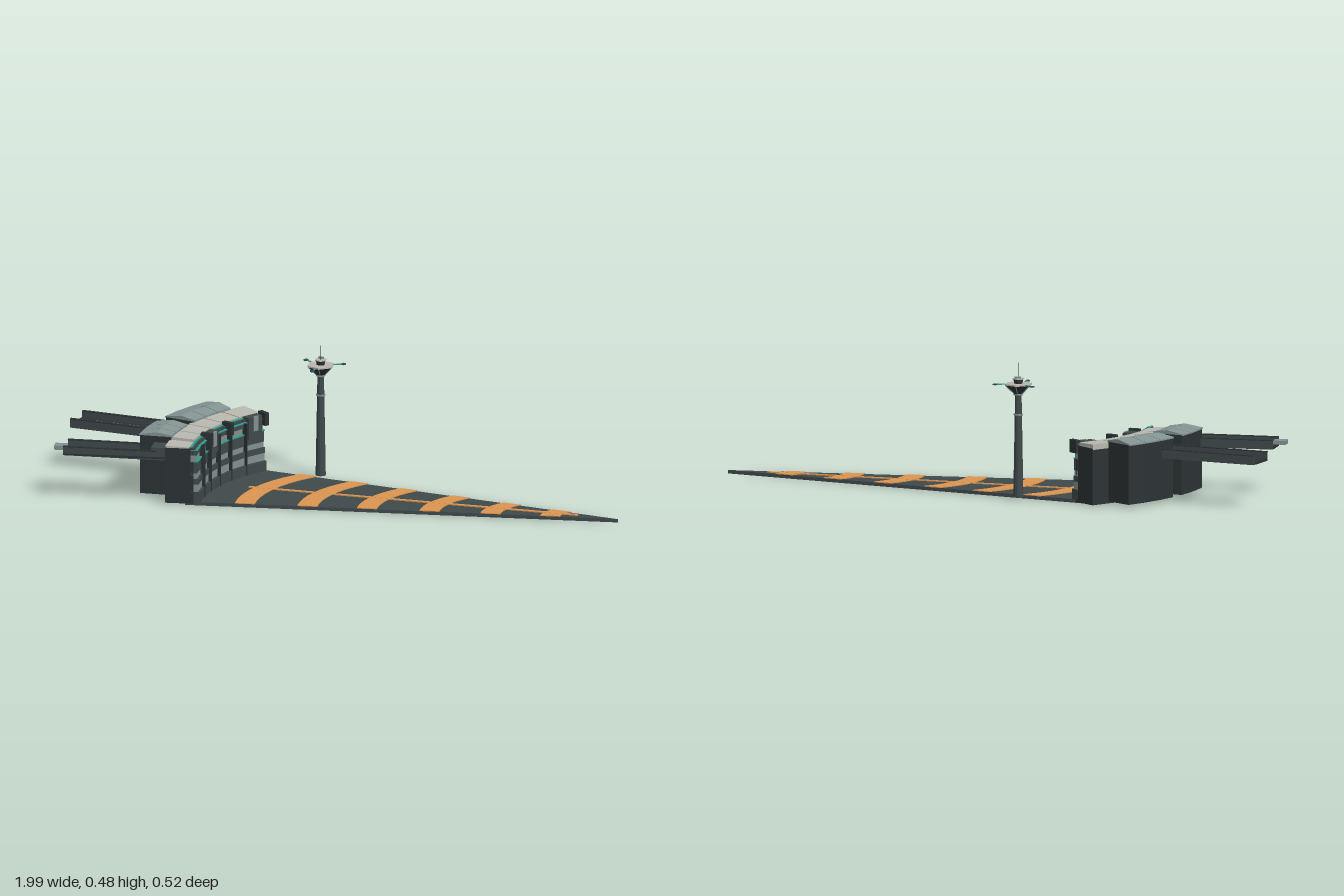
import * as THREE from 'three';

const APEX = 0.995, Z0 = 0.257, CX = 0.12; // fan apex, straight edge, centre of the curved building
const paint = (color) => new THREE.MeshStandardMaterial({ color, flatShading: true, side: THREE.DoubleSide });
const dark = paint(0x40494b), deep = paint(0x2c3335), glass = paint(0x82908f);
const pale = paint(0xb9b8af), teal = paint(0x2f9c8e), orange = paint(0xdb9550), tealRoof = paint(0x849493);

function add(parent, name, geometry, material, x = 0, y = 0, z = 0) {
  const mesh = new THREE.Mesh(geometry, material);
  mesh.name = name;
  mesh.position.set(x, y, z);
  parent.add(mesh);
  return mesh;
}

// Flat slab from a plan outline of [x, z] points
function slab(points, y0, y1) {
  const shape = new THREE.Shape(points.map(([x, z]) => new THREE.Vector2(x, -z)));
  const g = new THREE.ExtrudeGeometry(shape, { depth: y1 - y0, bevelEnabled: false });
  return g.rotateX(-Math.PI / 2).translate(0, y0, 0);
}

// Sweep a convex anticlockwise [radius, y] profile through a list of angles
function sweep(profile, angles) {
  const pos = [], n = profile.length;
  const pt = ([r, y], a) => [CX - r * Math.cos(a), y, Z0 - r * Math.sin(a)];
  const tri = (a, b, c) => pos.push(...a, ...b, ...c);
  for (let i = 0; i < angles.length - 1; i++) {
    const a = angles[i], b = angles[i + 1];
    for (let j = 0; j < n; j++) {
      const p = profile[j], q = profile[(j + 1) % n];
      tri(pt(p, a), pt(q, a), pt(q, b));
      tri(pt(p, a), pt(q, b), pt(p, b));
    }
  }
  const s = angles[0], e = angles[angles.length - 1];
  for (let j = 1; j < n - 1; j++) {
    tri(pt(profile[0], s), pt(profile[j + 1], s), pt(profile[j], s));
    tri(pt(profile[0], e), pt(profile[j], e), pt(profile[j + 1], e));
  }
  const g = new THREE.BufferGeometry();
  g.setAttribute('position', new THREE.Float32BufferAttribute(pos, 3));
  g.computeVertexNormals();
  return g;
}
const rect = (r0, r1, y0, y1) => [[r0, y0], [r1, y0], [r1, y1], [r0, y1]];
const bayAngles = Array.from({ length: 7 }, (_, i) => Math.asin(i * 0.0725 / 0.62));

// Wedge-shaped apron with arced stripes that shrink towards the apex
function apron() {
  const g = new THREE.Group();
  g.name = 'apron';
  const back = bayAngles.map((a) => [CX - 0.65 * Math.cos(a), Z0 - 0.62 * Math.sin(a)]);
  add(g, 'apronFloor', slab([[APEX, Z0], ...back], 0, 0.012), dark);
  const arc = (d) => Array.from({ length: 9 }, (_, i) => {
    const u = 0.285 * i / 8, r = 0.38;
    return [APEX - d * (1 - r + Math.sqrt(r * r - u * u)), Z0 - d * u];
  });
  for (const d of [1.35, 1.13, 0.92, 0.70, 0.485, 0.275])
    add(g, 'apronStripe', slab([...arc(d), ...arc(d - 0.07).reverse()], 0.012, 0.015), orange);
  const line = [[-0.335, 0.045], [0.85, 0.225], [0.85, 0.238], [-0.335, 0.058]];
  add(g, 'centreLine', slab(line, 0.012, 0.0155), orange);
  return g;
}

// Curved front building with banded facade
function terminal() {
  const g = new THREE.Group();
  g.name = 'terminal';
  add(g, 'terminalCore', sweep(rect(0.62, 0.72, 0.005, 0.204), bayAngles), deep);
  const bands = [
    [0.012, 0.048, 0.595, dark], [0.048, 0.075, 0.605, glass], [0.075, 0.095, 0.603, dark],
    [0.095, 0.115, 0.61, glass], [0.115, 0.155, 0.608, dark], [0.155, 0.159, 0.604, teal],
    [0.159, 0.18, 0.614, glass], [0.18, 0.197, 0.61, dark], [0.197, 0.2, 0.606, teal],
  ];
  for (const [y0, y1, r, m] of bands)
    add(g, 'facadeBand', sweep(rect(r, 0.63, y0, y1), bayAngles), m);
  for (let i = 0; i < 6; i++) {
    const a = [bayAngles[i] + 0.004, bayAngles[i + 1] - 0.004], top = i === 0 ? 0.211 : 0.219;
    add(g, 'roofPanel', sweep([[0.635, 0.2], [0.72, 0.2], [0.72, top], [0.635, top - 0.003]], a), pale);
    add(g, 'roofEdge', sweep(rect(0.615, 0.634, 0.2, 0.209), a), dark);
  }
  add(g, 'roofTrim', sweep(rect(0.624, 0.632, 0.207, 0.212), bayAngles), teal);
  // Fins and tall window bays on the facade
  for (const i of [2, 4, 6]) {
    const a = bayAngles[i];
    add(g, 'facadeFin', sweep(rect(0.59, 0.63, 0.177, 0.223), [a - 0.016, a + 0.012]), deep);
  }
  for (const i of [2, 5]) {
    const a = (bayAngles[i] + bayAngles[i + 1]) / 2;
    add(g, 'windowBay', sweep(rect(0.598, 0.63, 0.14, 0.216), [a - 0.055, a + 0.05]), dark);
    add(g, 'windowPanel', sweep(rect(0.594, 0.6, 0.165, 0.218), [a - 0.018, a + 0.018]), glass);
  }
  for (let i = 1; i < 6; i++)
    add(g, 'facadeJoint', sweep(rect(0.592, 0.62, 0.012, 0.2), [bayAngles[i] - 0.002, bayAngles[i] + 0.002]), deep);
  return g;
}

// Rear lounge: three faceted bays with a low ridged roof
function lounge(from, to) {
  const g = new THREE.Group();
  g.name = 'rearLounge';
  const angles = [0, 1, 2, 3].map((i) => THREE.MathUtils.degToRad(from + (to - from) * i / 3));
  add(g, 'loungeWalls', sweep(rect(0.715, 0.825, 0.012, 0.222), angles), deep);
  for (let i = 0; i < 3; i++) {
    const roof = [[0.71, 0.22], [0.829, 0.22], [0.829, 0.225], [0.765, 0.236], [0.71, 0.227]];
    add(g, 'loungeRoof', sweep(roof, [angles[i] + 0.002, angles[i + 1] - 0.002]), tealRoof);
  }
  return g;
}

// Open-topped boarding bridge running out along local -x
function bridge(x, z, angle, length, width) {
  const g = new THREE.Group();
  g.name = 'boardingBridge';
  g.position.set(x, 0, z);
  g.rotation.y = -angle;
  const box = (name, l, h, w, m, bx, by, bz) => add(g, name, new THREE.BoxGeometry(l, h, w), m, bx, by, bz);
  box('bridgeFloor', length, 0.01, width, deep, -length / 2, 0.162, 0);
  for (const s of [-1, 1]) {
    box('bridgeWall', length, 0.032, 0.007, dark, -length / 2, 0.173, s * width / 2);
    box('bridgeRail', length, 0.003, 0.012, deep, -length / 2, 0.189, s * width / 2);
  }
  for (let i = 0; i < 5; i++)
    box('bridgeLight', 0.034, 0.004, 0.032, glass, -0.045 - i * 0.064, 0.169, 0);
  box('bridgeRoot', 0.1, 0.045, width * 0.9, dark, 0.03, 0.178, 0);
  return g;
}

// Control tower
function tower() {
  const g = new THREE.Group();
  g.name = 'controlTower';
  g.position.set(-0.11, 0, -0.143);
  const drum = (name, r1, r0, y0, y1, m, sides = 12) =>
    add(g, name, new THREE.CylinderGeometry(r1, r0, y1 - y0, sides), m, 0, (y0 + y1) / 2, 0);
  drum('towerShaft', 0.0115, 0.018, 0.01, 0.375, dark);
  drum('towerCollar', 0.0165, 0.0165, 0.299, 0.304, glass);
  drum('towerCollar', 0.0165, 0.0165, 0.37, 0.375, glass);
  drum('towerBowl', 0.047, 0.015, 0.375, 0.406, deep, 6);
  drum('towerDeck', 0.05, 0.05, 0.406, 0.411, pale, 6);
  drum('towerCab', 0.018, 0.015, 0.411, 0.426, deep, 6);
  drum('cabRoof', 0.021, 0.021, 0.426, 0.43, pale, 6);
  add(g, 'antenna', new THREE.CylinderGeometry(0.001, 0.001, 0.053, 5), deep, 0, 0.456, 0.01);
  add(g, 'roofUnit', new THREE.BoxGeometry(0.02, 0.007, 0.01), glass, 0, 0.433, -0.01);
  for (let i = 0; i < 6; i++) {
    const a = i * Math.PI / 3;
    const rib = new THREE.LineCurve3(
      new THREE.Vector3(Math.sin(a) * 0.016, 0.375, Math.cos(a) * 0.016),
      new THREE.Vector3(Math.sin(a) * 0.048, 0.406, Math.cos(a) * 0.048));
    add(g, 'bowlRib', new THREE.TubeGeometry(rib, 1, 0.0016, 4), glass);
  }
  for (let i = 0; i < 3; i++) {
    const arm = new THREE.Group();
    arm.name = 'deckArm';
    arm.rotation.y = -THREE.MathUtils.degToRad(103 + i * 120);
    add(arm, 'armBeam', new THREE.BoxGeometry(0.044, 0.003, 0.005), teal, 0.062, 0.409, 0);
    add(arm, 'armPad', new THREE.CylinderGeometry(0.009, 0.009, 0.004, 8), dark, 0.081, 0.409, 0);
    g.add(arm);
  }
  return g;
}

export function createModel() {
  const model = new THREE.Group();
  model.name = 'spaceport';
  model.add(apron(), terminal(), lounge(5.8, 18.4), lounge(22.4, 38.8), tower());
  model.add(bridge(-0.6, -0.055, 0.265, 0.385, 0.105), bridge(-0.63, 0.209, 0.05, 0.33, 0.085));
  // Nose hood on the outer end of the straight bridge
  add(model, 'bridgeNose', new THREE.BoxGeometry(0.045, 0.014, 0.04), glass, -0.975, 0.177, 0.2);
  add(model, 'sideRail', new THREE.BoxGeometry(0.36, 0.006, 0.004), deep, -0.78, 0.165, 0.253);
  return model;
}
